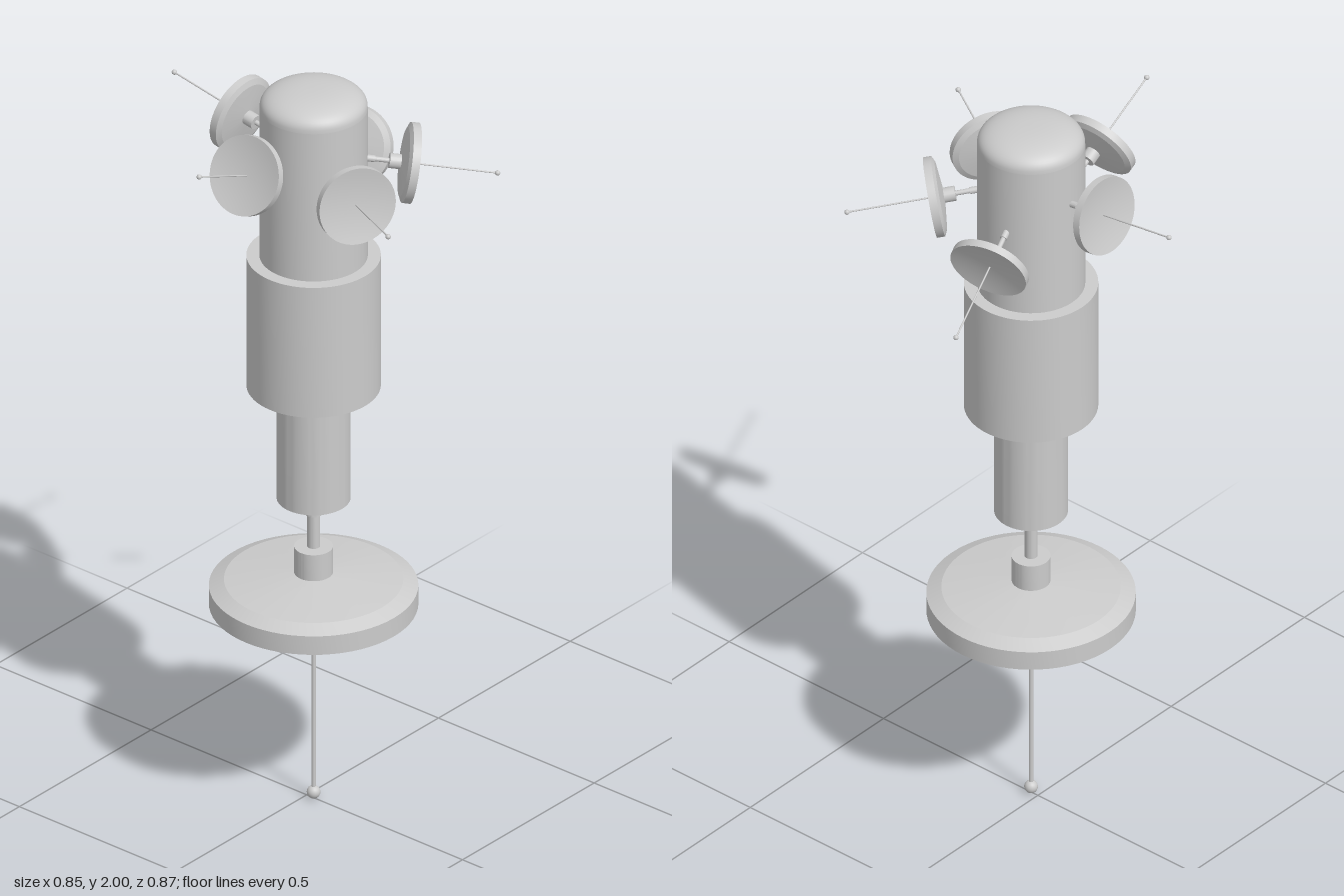
import * as THREE from 'three';
import { toCreasedNormals } from 'three/addons/utils/BufferGeometryUtils.js';

const material = new THREE.MeshStandardMaterial({ color: 0xcccccc });
const AXIS_Z = 0.022;      // the body sits slightly forward of centre
const TIP = 0.83;          // distance from mount to antenna tip ball

function mesh(name, geometry) {
  const m = new THREE.Mesh(geometry, material);
  m.name = name;
  return m;
}

// Turned part from [radius, height] pairs, bottom to top, with sharp edges kept
function turned(name, profile, segments = 64) {
  const points = profile.map(([r, y]) => new THREE.Vector2(r, y));
  return mesh(name, toCreasedNormals(new THREE.LatheGeometry(points, segments), 0.27));
}

// Dish antenna that grows along +y from its mount at the origin
function dishAntenna(name) {
  const group = new THREE.Group();
  group.name = name;

  group.add(turned('mount', [
    [0, -0.03], [0.022, -0.03], [0.022, 0.045], [0.016, 0.045], [0.016, 0.137],
    [0.048, 0.137], [0.048, 0.215], [0, 0.215],
  ], 32));

  // Chamfered back, straight rim and shallow concave face
  const dish = [[0, 0.207], [0.05, 0.21], [0.22, 0.23], [0.257, 0.247], [0.257, 0.299]];
  for (let i = 7; i >= 0; i--) {
    const t = i / 8;
    dish.push([0.257 * t, 0.272 + 0.027 * t * t]);
  }
  group.add(turned('dish', dish));

  const feed = mesh('feedRod', new THREE.CylinderGeometry(0.0055, 0.0055, TIP - 0.27, 12));
  feed.position.y = (TIP + 0.27) / 2;
  const ball = mesh('tipBall', new THREE.SphereGeometry(0.017, 20, 14));
  ball.position.y = TIP;
  group.add(feed, ball);
  return group;
}

export function createModel() {
  const model = new THREE.Group();
  model.name = 'satellite';

  // Stepped body
  const body = turned('body', [
    [0, 0.847], [0.091, 0.847], [0.091, 1.164], [0.165, 1.164],
    [0.165, 1.53], [0.133, 1.53], [0.133, 1.945],
  ]);
  body.position.z = AXIS_Z;

  // Flattened dome cap
  const domePoints = [];
  for (let i = 0; i <= 16; i++) {
    const a = (i / 16) * Math.PI / 2;
    const c = i === 16 ? 0 : Math.cos(a);
    domePoints.push(new THREE.Vector2(0.133 * c ** 0.8, 1.945 + 0.055 * Math.sin(a) ** 0.8));
  }
  const dome = mesh('dome', new THREE.LatheGeometry(domePoints, 64));
  dome.position.z = AXIS_Z;
  model.add(body, dome);

  // Large dish pointing straight down
  const mainDish = dishAntenna('mainDish');
  mainDish.rotation.x = Math.PI;
  mainDish.position.set(0, 0.847, AXIS_Z);
  model.add(mainDish);

  // Ring of small dishes: tip position and pointing direction
  const scale = 0.39;
  const up = new THREE.Vector3(0, 1, 0);
  [
    ['backDish', [0.007, 1.876, -0.431], [0.019, 0.155, -0.99]],
    ['leftDish', [0.417, 1.64, -0.095], [0.889, -0.372, -0.266]],
    ['frontLeftDish', [0.306, 1.75, 0.354], [0.689, -0.17, 0.708]],
    ['frontRightDish', [-0.197, 1.815, 0.428], [-0.474, 0.116, 0.874]],
    ['rightDish', [-0.419, 1.926, 0.009], [-0.913, 0.404, 0.073]],
  ].forEach(([name, tip, direction]) => {
    const dir = new THREE.Vector3(...direction).normalize();
    const unit = dishAntenna(name);
    unit.scale.setScalar(scale);
    unit.quaternion.setFromUnitVectors(up, dir);
    unit.position.set(...tip).addScaledVector(dir, -TIP * scale);
    model.add(unit);
  });

  return model;
}
